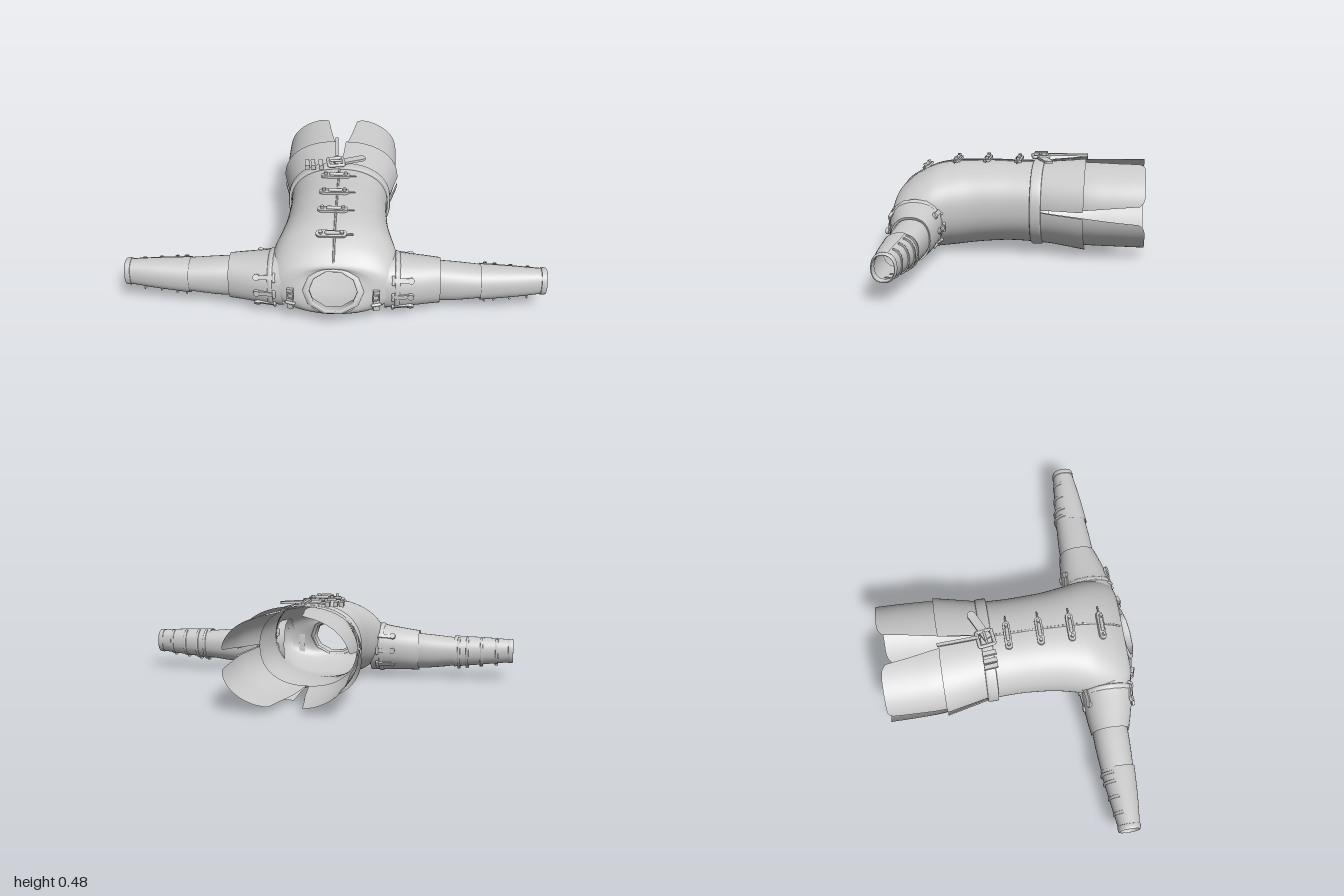
import * as THREE from 'three';
import { ParametricGeometry } from 'three/addons/geometries/ParametricGeometry.js';

const cloth = new THREE.MeshStandardMaterial({ color: 0xcccccc, side: THREE.DoubleSide });
const TAU = Math.PI * 2;

function add(parent, name, geometry, x = 0, y = 0, z = 0, rx = 0, ry = 0, rz = 0) {
  const mesh = new THREE.Mesh(geometry, cloth);
  mesh.name = name;
  mesh.position.set(x, y, z);
  mesh.rotation.set(rx, ry, rz);
  parent.add(mesh);
  return mesh;
}

// Smooth lookup in a table of cross-sections:
// [position along axis, bottom y, top y, half width, centre, tilt]
function section(rows, v) {
  const n = rows.length - 1;
  const i = Math.min(Math.floor(v * n), n - 1), t = v * n - i;
  const [a, b, c, d] = [Math.max(i - 1, 0), i, i + 1, Math.min(i + 2, n)].map(k => rows[k]);
  return b.map((q, k) => q + 0.5 * t * (c[k] - a[k] +
    t * (2 * a[k] - 5 * q + 4 * c[k] - d[k] + t * (3 * (q - c[k]) + d[k] - a[k]))));
}

// Point on a rounded cross-section; axis 'z' for the torso, 'x' for the sleeves
function ringPoint([pos, y0, y1, half, mid, tilt], angle, axis, power, out, lift = 0) {
  const curve = q => Math.sign(q) * Math.abs(q) ** (2 / power);
  const c = curve(Math.cos(angle)), s = curve(Math.sin(angle));
  const side = mid + c * (half + lift), y = (y0 + y1) / 2 + s * ((y1 - y0) / 2 + lift);
  const along = pos - tilt * s;
  return axis === 'z' ? out.set(side, y, along) : out.set(along, y, side);
}

function loft(rows, axis, { from = 0, to = TAU, power = 2.3, around = 48, along = 24, lift = 0 } = {}) {
  return new ParametricGeometry((u, v, out) =>
    ringPoint(section(rows, v), from + (to - from) * u, axis, power, out, lift), around, along);
}

// One skirt tab: a quarter of the hem, split at the centre and at the side
function tab(rows, gaps, splits, sx, sy, corner) {
  const p = 2.3, mix = THREE.MathUtils.lerp;
  return new ParametricGeometry((u, v, out) => {
    const w = v * (1 - corner * Math.abs(2 * u - 1) ** 8);
    const row = section(rows, w), hh = (row[2] - row[1]) / 2;
    const a0 = Math.acos((mix(...gaps, w) / row[3]) ** (p / 2));
    const a1 = Math.asin((mix(...splits, w) / hh) ** (p / 2));
    ringPoint(row, mix(a0, a1, u), 'z', p, out);
    const cy = (row[1] + row[2]) / 2;
    out.set(sx * out.x, cy + sy * (out.y - cy), out.z);
  }, 20, 18);
}

function rod(points, radius) {
  const curve = new THREE.CatmullRomCurve3(points.map(q => new THREE.Vector3(...q)));
  return new THREE.TubeGeometry(curve, 30, radius, 6);
}

// Strap with two pegs, lying across the front opening
function toggle(parent, y, z, tilt) {
  const g = new THREE.Group();
  g.name = 'toggle';
  g.position.set(-0.015, y, z);
  g.rotation.x = tilt;
  add(g, 'toggleStrap', new THREE.BoxGeometry(0.11, 0.012, 0.036), 0, 0.004);
  for (const s of [-1, 1]) {
    add(g, 'strapEnd', new THREE.CylinderGeometry(0.018, 0.018, 0.012, 12), s * 0.055, 0.004);
    add(g, 'peg', new THREE.CylinderGeometry(0.009, 0.009, 0.02, 8), s * 0.05, 0.014);
  }
  add(g, 'toggleBar', new THREE.CapsuleGeometry(0.009, 0.055, 4, 8), 0.005, 0.014, 0, 0, 0, Math.PI / 2);
  add(g, 'toggleLoop', new THREE.CapsuleGeometry(0.004, 0.05, 3, 6), 0.075, 0.002, 0, 0, 0, Math.PI / 2);
  parent.add(g);
}

function sleeve() {
  const g = new THREE.Group();
  const upper = [[.24, .03, .30, .13, .462, 0], [.32, .035, .28, .127, .457, 0],
    [.42, .04, .265, .112, .447, 0], [.5, .04, .255, .095, .44, 0]];
  const lower = [[.44, .052, .243, .088, .44, 0], [.56, .055, .235, .088, .44, 0], [.71, .073, .221, .079, .44, 0]];
  const cuff = [[.69, .065, .229, .084, .44, 0], [.85, .082, .224, .068, .442, 0], [.99, .097, .218, .052, .443, 0]];
  add(g, 'upperSleeve', loft(upper, 'x', { around: 32 }));
  add(g, 'upperSleeveEdge', loft([upper[3], lower[0].with(0, .495)], 'x', { around: 32, along: 2 }));
  add(g, 'lowerSleeve', loft(lower, 'x', { around: 32 }));
  add(g, 'cuff', loft(cuff, 'x', { around: 24 }));
  add(g, 'cuffRim', loft([[.975, .096, .219, .053, .443, 0], [.978, .092, .223, .057, .443, 0],
    [.998, .094, .221, .055, .443, 0], [1, .1, .214, .048, .443, 0], [.97, .103, .211, .045, .443, 0]], 'x', { around: 24 }));
  // overlapping front panel of the cuff
  add(g, 'cuffPanel', loft([cuff[0], cuff[1], cuff[2].with(0, .965)], 'x',
    { from: -1.5, to: 1.8, around: 24, lift: .003 }));
  // fastening bands round the back and underside of the cuff
  for (const x of [.715, .76, .835, .915]) {
    const mid = section(cuff, (x - .69) / .3);
    const rows = [[-.007, 0], [-.006, .006], [.006, .006], [.007, 0]].map(([dx, o]) =>
      [x + dx, mid[1] - o, mid[2] + o, mid[3] + o, mid[4], 0]);
    add(g, 'cuffBand', loft(rows, 'x', { from: 1.9, to: 4.9, around: 20, along: 9 }));
    add(g, 'cuffPeg', new THREE.CylinderGeometry(.009, .009, .018, 8), x, mid[1] - .006, .45);
    add(g, 'cuffPegBar', new THREE.CapsuleGeometry(.005, .026, 3, 6), x, mid[1] - .011, .46, Math.PI / 2);
  }
  // straps tying the sleeve to the armhole
  const at = new THREE.Vector3();
  for (const a of [-.65, -.05, .55, 2.55, 3.15, 3.75]) {
    ringPoint(upper[1], a, 'x', 2.3, at);
    const turn = Math.PI / 2 - a;
    const strap = add(g, 'shoulderStrap', new THREE.BoxGeometry(.09, .014, .022), .315, at.y, at.z, turn);
    strap.rotation.z = -.12;
    add(g, 'shoulderPeg', new THREE.CapsuleGeometry(.008, .032, 3, 8), .278, at.y, at.z, turn + Math.PI / 2).translateZ(-.008);
    add(g, 'strapTip', new THREE.CylinderGeometry(.016, .016, .014, 10), .36, at.y, at.z, turn);
  }
  // armhole seam
  add(g, 'armholeSeam', loft([[.285, .03, .289, .126, .46, 0], [.29, .025, .294, .132, .46, 0],
    [.305, .028, .29, .13, .46, 0], [.312, .036, .28, .122, .46, 0]], 'x', { around: 16, along: 6 }));
  // short buckled strap beside the neck
  add(g, 'neckStrap', new THREE.BoxGeometry(.03, .11, .016), .2, .14, .605, 0, .3);
  add(g, 'neckBuckle', new THREE.TorusGeometry(.02, .005, 6, 4), .2, .16, .614, 0, .3, Math.PI / 4);
  add(g, 'neckPeg', new THREE.CapsuleGeometry(.008, .035, 3, 8), .2, .12, .614, 0, .3, Math.PI / 2);
  return g;
}

export function createModel() {
  const model = new THREE.Group();
  model.name = 'jacket';

  // torso lying on its back, neck towards the front
  const torso = [[-.14, .035, .44, .25, 0, 0], [0, .04, .44, .245, 0, 0], [.1, .035, .442, .248, 0, 0],
    [.2, .025, .44, .256, 0, 0], [.3, .012, .435, .275, 0, 0], [.4, .005, .418, .298, 0, 0],
    [.5, .02, .372, .302, 0, 0], [.57, .042, .325, .278, 0, .01], [.6, .065, .3, .21, 0, .02],
    [.608, .085, .285, .13, 0, .035]];
  add(model, 'torso', loft(torso, 'z', { around: 64, along: 54 }));

  // neck opening with a turned-in edge
  add(model, 'collar', loft([[.597, .075, .3, .145, 0, .03], [.61, .082, .295, .14, 0, .038],
    [.614, .1, .28, .112, 0, .036], [.57, .09, .29, .12, 0, .03]], 'z', { around: 10, along: 12, power: 2 }));

  // front opening
  add(model, 'frontSeam', rod([[0, .44, -.12], [0, .44, .1], [0, .435, .3], [0, .418, .4],
    [0, .372, .5], [0, .328, .558], [0, .29, .575]], .005));
  [[.402, .455, .4], [.438, .3, .06], [.444, .145, 0], [.443, -.015, 0]].forEach(q => toggle(model, ...q));

  // skirt in two layers of four tabs
  const shortRows = [[-.12, .035, .44, .25, 0, 0], [-.2, .03, .447, .27, 0, 0], [-.36, .006, .462, .306, 0, 0]];
  const longRows = [[-.15, .04, .435, .246, 0, 0], [-.35, .03, .447, .288, 0, 0],
    [-.5, .028, .45, .297, 0, 0], [-.653, .026, .454, .299, 0, 0]];
  for (const sx of [1, -1]) for (const sy of [1, -1]) {
    add(model, 'shortSkirtTab', tab(shortRows, [.001, .025], [.001, .016], sx, sy, .02));
    add(model, 'longSkirtTab', tab(longRows, [.003, .085], [.003, .048], sx, sy, .08));
  }

  // belt, buckle and hanging tail
  add(model, 'belt', loft([[-.15, .036, .439, .25, 0, 0], [-.147, .027, .449, .263, 0, 0],
    [-.12, .025, .451, .265, 0, 0], [-.097, .027, .449, .263, 0, 0], [-.094, .036, .439, .25, 0, 0]],
  'z', { around: 64, along: 16 }));
  const buckle = new THREE.Group();
  buckle.name = 'beltBuckle';
  for (const s of [-1, 1]) {
    add(buckle, 'buckleSide', new THREE.CapsuleGeometry(.009, .065, 4, 8), s * .038, 0, 0, Math.PI / 2);
    add(buckle, 'buckleEnd', new THREE.CapsuleGeometry(.009, .07, 4, 8), 0, 0, s * .038, 0, 0, Math.PI / 2);
  }
  add(buckle, 'bucklePin', new THREE.CapsuleGeometry(.006, .06, 3, 6), 0, .008, 0, 0, 0, Math.PI / 2);
  buckle.position.set(-.02, .465, -.125);
  buckle.rotation.y = .15;
  model.add(buckle);
  for (const x of [-.165, -.135, -.095])
    add(model, 'beltLoop', new THREE.BoxGeometry(.022, .024, .068), x, .452, -.117, 0, .1, .1);
  add(model, 'beltEnd', new THREE.BoxGeometry(.15, .012, .042), .045, .462, -.145, 0, .45, -.03);
  add(model, 'beltEndTip', new THREE.CylinderGeometry(.022, .022, .012, 12), .11, .46, -.177);
  add(model, 'beltTail', new THREE.BoxGeometry(.016, .012, .2), -.02, .474, -.265, 0, .05);

  // sleeves
  for (const s of [1, -1]) {
    const g = sleeve();
    g.name = s > 0 ? 'leftSleeve' : 'rightSleeve';
    g.scale.x = s;
    model.add(g);
  }
  return model;
}
